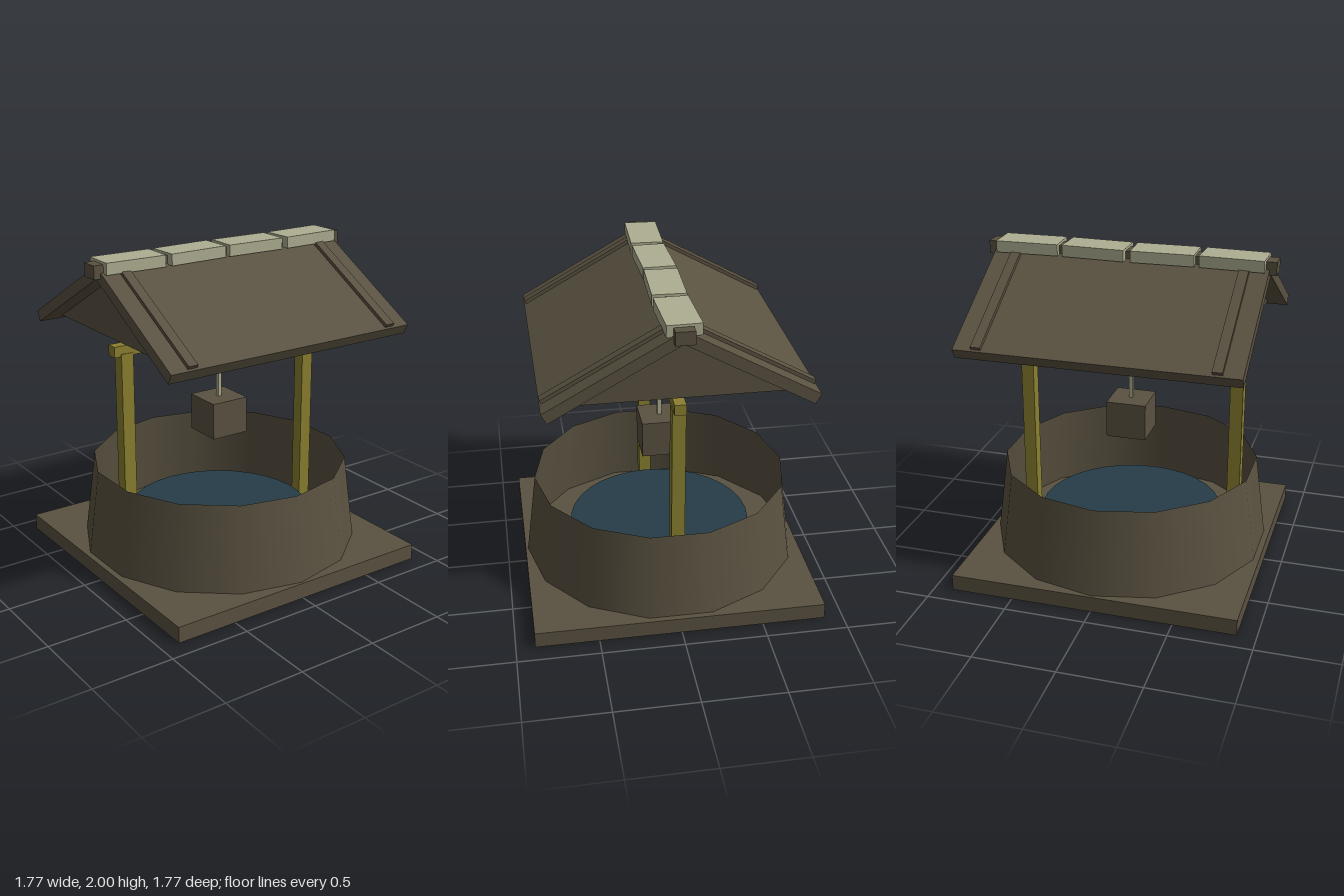
import * as THREE from 'three';

const mat = (name, color, side = THREE.FrontSide) =>
  Object.assign(new THREE.MeshStandardMaterial({ color, side }), { name });

export function createModel() {
  const model = new THREE.Group();
  model.name = 'well';

  const brown = mat('dark brown', 0x5a5241, THREE.DoubleSide);
  const pale = mat('pale stone', 0xaeae92);
  const yellow = mat('olive yellow wood', 0x8a8030);
  const blue = mat('water blue', 0x263d48, THREE.DoubleSide);

  const add = (name, geometry, material, x = 0, y = 0, z = 0) => {
    const mesh = new THREE.Mesh(geometry, material);
    mesh.name = name;
    mesh.position.set(x, y, z);
    model.add(mesh);
    return mesh;
  };
  // box given by its size and the height of its underside
  const box = (name, material, w, h, d, x, bottom, z = 0) =>
    add(name, new THREE.BoxGeometry(w, h, d), material, x, bottom + h / 2, z);

  // mirrored (z, y) profile extruded along x
  const prism = (name, half, width, x) => {
    const mirrored = half.filter(([z]) => z > 0).map(([z, y]) => [-z, y]).reverse();
    const points = [...half, ...mirrored].map(([z, y]) => new THREE.Vector2(z, y));
    const geometry = new THREE.ExtrudeGeometry(new THREE.Shape(points), { depth: width, bevelEnabled: false });
    geometry.translate(0, 0, -width / 2).rotateY(-Math.PI / 2);
    return add(name, geometry, brown, x);
  };
  // bent strip: outer and inner slopes meeting at the ridge
  const chevron = (name, [inZ, inY, inTop], [outZ, outY, outTop], width, x) => {
    const points = [[0, inTop], [inZ, inY], [outZ, outY], [0, outTop], [-outZ, outY], [-inZ, inY]];
    const shape = new THREE.Shape(points.map(([z, y]) => new THREE.Vector2(z, y)));
    const geometry = new THREE.ExtrudeGeometry(shape, { depth: width, bevelEnabled: false });
    geometry.translate(0, 0, -width / 2).rotateY(-Math.PI / 2);
    return add(name, geometry, brown, x);
  };

  // base slab, thin tapering wall and water
  box('base', brown, 1.77, 0.1, 1.77, 0, 0);
  add('wall', new THREE.CylinderGeometry(0.8, 0.87, 0.535, 14, 1, true), brown, 0, 0.3675);
  add('water', new THREE.CircleGeometry(0.58, 32).rotateX(-Math.PI / 2), blue, 0, 0.27);

  // posts, crossbeam, rope and bucket
  for (const side of [-1, 1]) box('post', yellow, 0.08, 1.435, 0.08, side * 0.675, 0);
  box('crossbeam', yellow, 1.515, 0.065, 0.068, 0, 1.42);
  box('rope', pale, 0.026, 0.41, 0.026, 0, 1.02);
  box('bucket', brown, 0.25, 0.23, 0.25, 0, 0.8);

  // roof with battens and gable ends
  chevron('roof', [0.745, 1.475, 1.892], [0.777, 1.535, 1.969], 1.685, 0);
  for (const side of [-1, 1]) {
    chevron('batten', [0.763, 1.541, 1.967], [0.775, 1.561, 1.993], 0.06, side * 0.7);
    prism('gable', [[0, 1.9], [0, 1.51], [0.685, 1.51]].slice(1).concat([[0, 1.893]]), 0.04, side * 0.7);
  }

  // ridge pole and slightly crooked cap stones
  box('ridgePole', brown, 1.77, 0.08, 0.112, 0, 1.905);
  for (let i = 0; i < 4; i++) {
    const cap = box('ridgeCap', pale, 0.385, 0.07, 0.2, -0.63 + i * 0.42, 1.93);
    cap.rotation.y = i % 2 ? 0.03 : -0.03;
  }
  return model;
}
